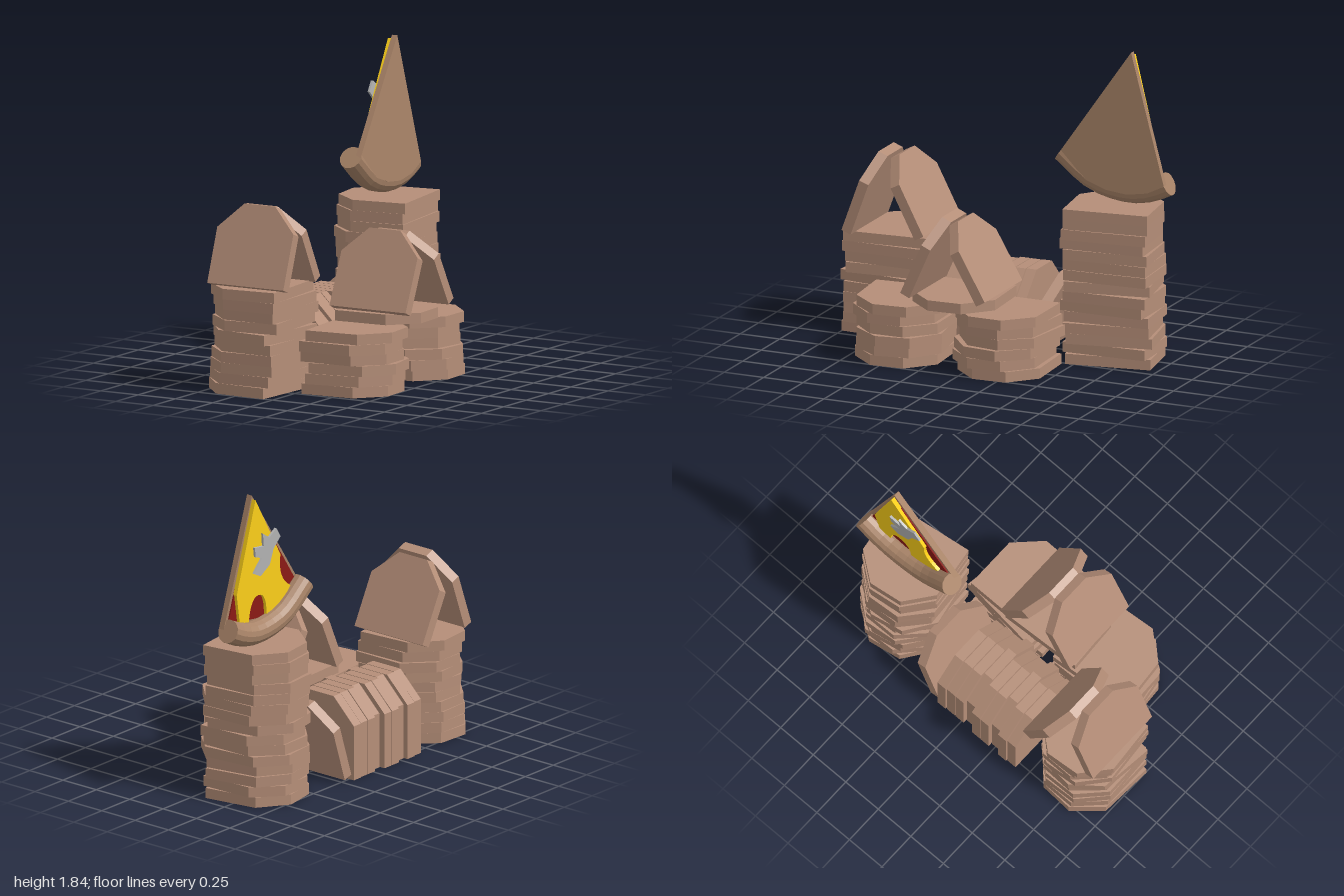
import * as THREE from 'three';

const W = 0.51, H = 0.48, T = 0.0618;
const DEG = Math.PI / 180;

let seed = 7;
function rand(a, b) {
  seed = (seed * 16807) % 2147483647;
  return a + (b - a) * (seed / 2147483647);
}

const mat = (color) => new THREE.MeshStandardMaterial({ color, flatShading: true, side: THREE.DoubleSide });
const bread = mat(0xb58e78);
const crustMat = mat(0xa98468);
const sauceMat = mat(0x8c1a16);
const cheeseMat = mat(0xffd21a);
const toppingMat = mat(0xb4b4b4);

function polygon(points) {
  return new THREE.Shape(points.map(([x, y]) => new THREE.Vector2(x, y)));
}

const extrude = (shape, depth) => new THREE.ExtrudeGeometry(shape, { depth, bevelEnabled: false, curveSegments: 8 });

// Bread slice standing on its base, with clipped top corners
const standing = extrude(polygon([
  [-W / 2, 0], [W / 2, 0], [W / 2, H - 0.15], [0.103, H], [-0.103, H], [-W / 2, H - 0.15],
]), T).translate(0, 0, -T / 2);

// The same slice lying flat, its top pointing to +x
const flat = standing.clone().translate(0, -H / 2, 0).rotateX(-Math.PI / 2).rotateY(-Math.PI / 2);

function addSlice(parent, name, geometry, x, y, z) {
  const mesh = new THREE.Mesh(geometry, bread);
  mesh.name = name;
  mesh.position.set(x, y, z);
  parent.add(mesh);
  return mesh;
}

// Tower of loosely stacked slices
function tower(name, x, z, layers, facing, minTurn, maxTurn) {
  const g = new THREE.Group();
  g.name = name;
  for (let i = 0; i < layers; i++) {
    const s = addSlice(g, 'stackedSlice', flat, x + rand(-0.015, 0.015), (i + 0.5) * T, z + rand(-0.018, 0.018));
    s.rotation.y = (facing + rand(minTurn, maxTurn)) * DEG;
  }
  return g;
}

// Two slices leaning together
function roof(name, slices) {
  const g = new THREE.Group();
  g.name = name;
  for (const [x, y, z, tilt] of slices) {
    addSlice(g, 'roofSlice', standing, x, y, z).rotation.x = tilt * DEG;
  }
  return g;
}

function pizza() {
  const g = new THREE.Group();
  g.name = 'pizzaSlice';
  const apex = [-0.76, 1.84];
  const polar = (deg, r) => [apex[0] + r * Math.sin(deg * DEG), apex[1] - r * Math.cos(deg * DEG)];

  // Flat layers, drawn in the z-y plane and stacked towards -x
  const layers = new THREE.Group();
  layers.name = 'pizzaLayers';
  layers.position.set(-0.19, 1, 0);
  layers.rotation.z = 2 * DEG;
  const layer = (name, shape, offset, depth, material) => {
    const m = new THREE.Mesh(extrude(shape, depth).translate(0, -1, offset), material);
    m.name = name;
    m.rotation.y = -Math.PI / 2;
    layers.add(m);
  };
  const wedge = (r) => polygon([apex, polar(-16, r), polar(-8, r + 0.03), polar(1, r + 0.045),
    polar(10, r + 0.045), polar(19, r + 0.035), polar(34.6, r)]);
  layer('pizzaBase', wedge(0.8), 0, 0.036, crustMat);
  layer('sauce', polygon([polar(9, 0.04), polar(-14.5, 0.76), polar(9, 0.79), polar(33, 0.76)]), 0.036, 0.008, sauceMat);

  // Cheese with an uneven edge that shows the sauce
  const cheese = new THREE.Shape();
  cheese.moveTo(-0.76, 1.82);
  cheese.lineTo(-0.905, 1.27);
  cheese.lineTo(-0.87, 1.09);
  cheese.lineTo(-0.79, 1.06);
  cheese.quadraticCurveTo(-0.78, 1.22, -0.71, 1.22);
  cheese.quadraticCurveTo(-0.63, 1.22, -0.63, 1.06);
  cheese.lineTo(-0.5, 1.11);
  cheese.lineTo(-0.42, 1.2);
  cheese.quadraticCurveTo(-0.54, 1.27, -0.52, 1.42);
  cheese.closePath();
  layer('cheese', cheese, 0.038, 0.026, cheeseMat);

  // Cross-shaped topping
  layer('topping', polygon([[-0.7, 1.6], [-0.64, 1.56], [-0.58, 1.6], [-0.54, 1.54], [-0.6, 1.48],
    [-0.63, 1.39], [-0.71, 1.34], [-0.77, 1.37], [-0.7, 1.45], [-0.76, 1.47], [-0.77, 1.53], [-0.69, 1.52]]),
  0.064, 0.014, toppingMat);
  g.add(layers);

  // Rounded outer crust with closed ends
  const path = new THREE.CatmullRomCurve3([[34.6, 0.79], [19, 0.83], [10, 0.84], [0, 0.84], [-8, 0.825], [-16, 0.8]]
    .map(([a, r]) => { const [z, y] = polar(a, r); return new THREE.Vector3(-0.262, y, z); }));
  const crust = new THREE.Mesh(new THREE.TubeGeometry(path, 10, 0.07, 14), crustMat);
  crust.name = 'crust';
  g.add(crust);
  for (const [t, sign] of [[0, -1], [1, 1]]) {
    const cap = new THREE.Mesh(new THREE.CircleGeometry(0.07, 14), crustMat);
    cap.name = 'crustEnd';
    cap.position.copy(path.getPointAt(t));
    cap.quaternion.setFromUnitVectors(new THREE.Vector3(0, 0, 1), path.getTangentAt(t).multiplyScalar(sign));
    g.add(cap);
  }
  return g;
}

export function createModel() {
  const model = new THREE.Group();
  model.name = 'breadCastle';

  // Four towers
  model.add(tower('frontTower', -0.27, 0.72, 10, 180, -7, 6));
  model.add(tower('backTower', -0.26, -0.655, 15, 180, -2, 12));
  model.add(tower('sideFrontTower', 0.27, 0.465, 6, 0, -1, 12));
  model.add(tower('sideBackTower', 0.27, -0.175, 6, 0, -9, 4));

  // Bridge slice across the two low towers
  addSlice(model, 'bridgeSlice', flat, 0.265, 6.5 * T, 0.1).rotation.y = 3 * DEG;

  // Pitched roofs
  model.add(roof('frontRoof', [[-0.21, 0.625, 0.925, -20], [-0.26, 0.628, 0.485, 27.6]]));
  model.add(roof('bridgeRoof', [[0.255, 0.443, 0.335, -24], [0.255, 0.448, -0.146, 30]]));

  // Wall of upright slices, the last one leaning on the back tower
  const wall = new THREE.Group();
  wall.name = 'wall';
  [-0.28, -0.275, -0.275, -0.25, -0.285, -0.285, -0.262, -0.287, -0.28].forEach((x, i) => {
    addSlice(wall, 'wallSlice', standing, x, 0, -0.15 + i * 0.0673);
  });
  addSlice(wall, 'leaningSlice', standing, -0.265, 0.025, -0.215).rotation.x = -18 * DEG;
  model.add(wall);

  model.add(pizza());
  return model;
}
